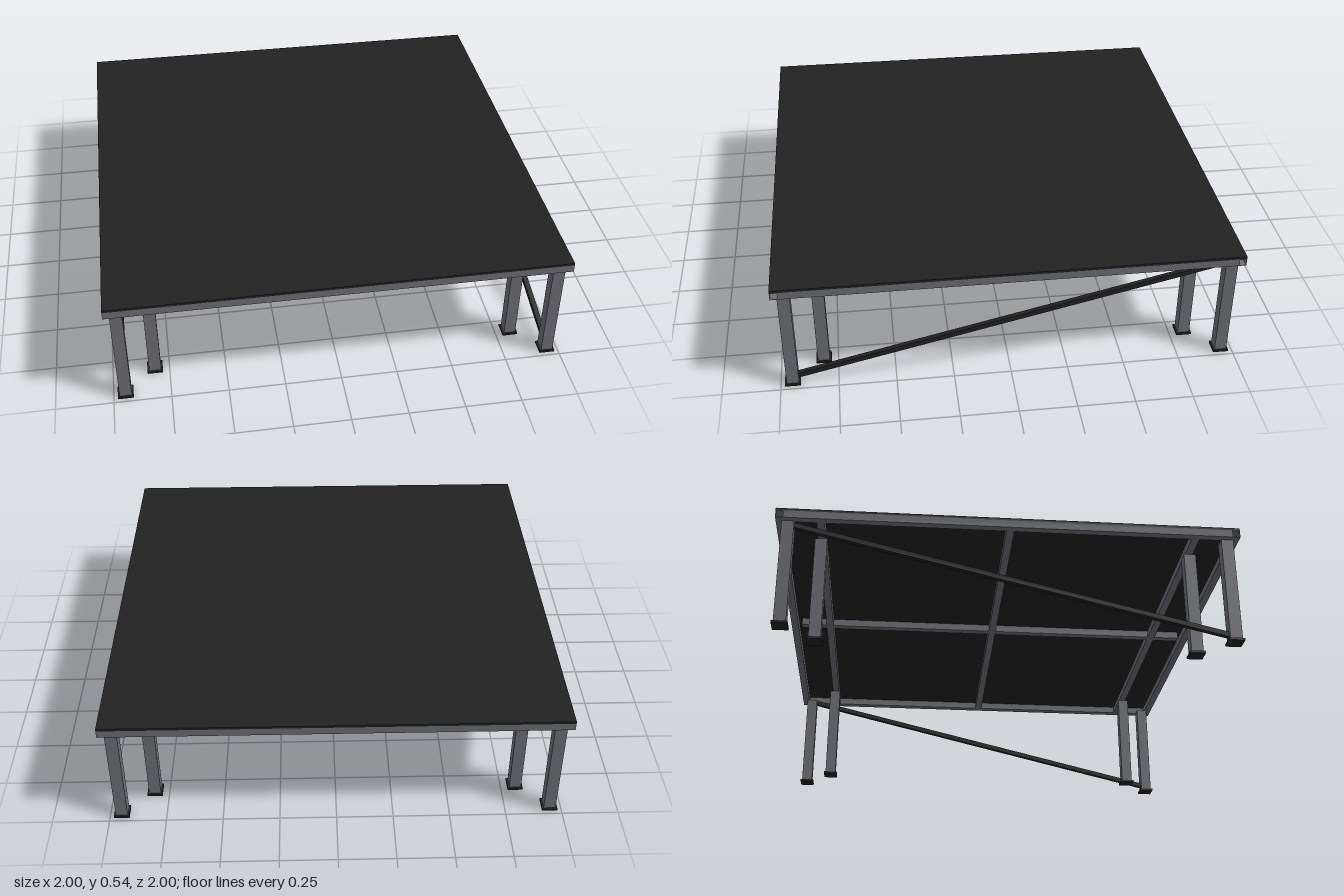
import * as THREE from 'three';

const steel = new THREE.MeshStandardMaterial({ color: 0x6e6f76 });
steel.name = 'grey steel';
const black = new THREE.MeshStandardMaterial({ color: 0x222222 });
black.name = 'black board';

const BEAM = 0.034, BEAM_Y = 0.507, LEG = 0.053, LEG_TOP = 0.49, FOOT = 0.01;

// Open-ended square tube, centred on the origin and running along z
function tube(size, length, wall = 0.002) {
  const square = (target, h) => {
    target.moveTo(-h, -h);
    target.lineTo(h, -h);
    target.lineTo(h, h);
    target.lineTo(-h, h);
    target.closePath();
    return target;
  };
  const shape = square(new THREE.Shape(), size / 2);
  shape.holes.push(square(new THREE.Path(), size / 2 - wall));
  const geo = new THREE.ExtrudeGeometry(shape, { depth: length, bevelEnabled: false });
  return geo.translate(0, 0, -length / 2);
}

export function createModel() {
  const group = new THREE.Group();
  const add = (name, geo, mat, x, y, z, parent = group) => {
    const mesh = new THREE.Mesh(geo, mat);
    mesh.name = name;
    mesh.position.set(x, y, z);
    parent.add(mesh);
    return mesh;
  };

  // Deck board
  add('deck', new THREE.BoxGeometry(2, 0.011, 2), black, 0, 0.5295, 0);

  // Outer frame: front and back rails run full width, side rails fit between them
  const edge = 1 - BEAM / 2;
  const inner = 2 - 2 * BEAM;
  for (const s of [-1, 1]) {
    add(s > 0 ? 'frontRail' : 'backRail', tube(BEAM, 2).rotateY(Math.PI / 2), steel, 0, BEAM_Y, s * edge);
    add(s > 0 ? 'leftRail' : 'rightRail', tube(BEAM, inner), steel, s * edge, BEAM_Y, 0);
  }

  // Inner joists: three across, one lengthways
  for (const z of [-0.81, 0, 0.81]) {
    add('crossJoist', tube(BEAM, inner).rotateY(Math.PI / 2), steel, 0, BEAM_Y, z);
  }
  for (const s of [-1, 1]) {
    add('centreJoist', tube(BEAM, 0.965 - BEAM), steel, 0, BEAM_Y, s * 0.483);
  }

  // A pair of legs with foot plates set diagonally at each corner
  const legGeo = tube(LEG, LEG_TOP - FOOT).rotateX(Math.PI / 2);
  const footGeo = new THREE.BoxGeometry(0.068, FOOT, 0.068);
  for (const sx of [-1, 1]) {
    for (const sz of [-1, 1]) {
      for (const d of [0.948, 0.814]) {
        const leg = new THREE.Group();
        leg.name = (sz > 0 ? 'front' : 'back') + (sx > 0 ? 'Left' : 'Right') + (d > 0.9 ? 'Outer' : 'Inner') + 'Leg';
        leg.position.set(sx * d, 0, sz * d);
        group.add(leg);
        add('post', legGeo, steel, 0, (LEG_TOP + FOOT) / 2, 0, leg);
        add('footPlate', footGeo, black, 0, FOOT / 2, 0, leg);
      }
    }
  }

  // Diagonal side braces, low at the front and high at the back
  const low = new THREE.Vector2(0.93, 0.035), high = new THREE.Vector2(-0.93, 0.482);
  const length = low.distanceTo(high);
  for (const s of [-1, 1]) {
    const brace = add(s > 0 ? 'leftBrace' : 'rightBrace', new THREE.BoxGeometry(0.022, 0.022, length),
      black, s * 0.948, (low.y + high.y) / 2, 0);
    brace.rotation.x = Math.atan2(high.y - low.y, low.x - high.x);
  }

  return group;
}
